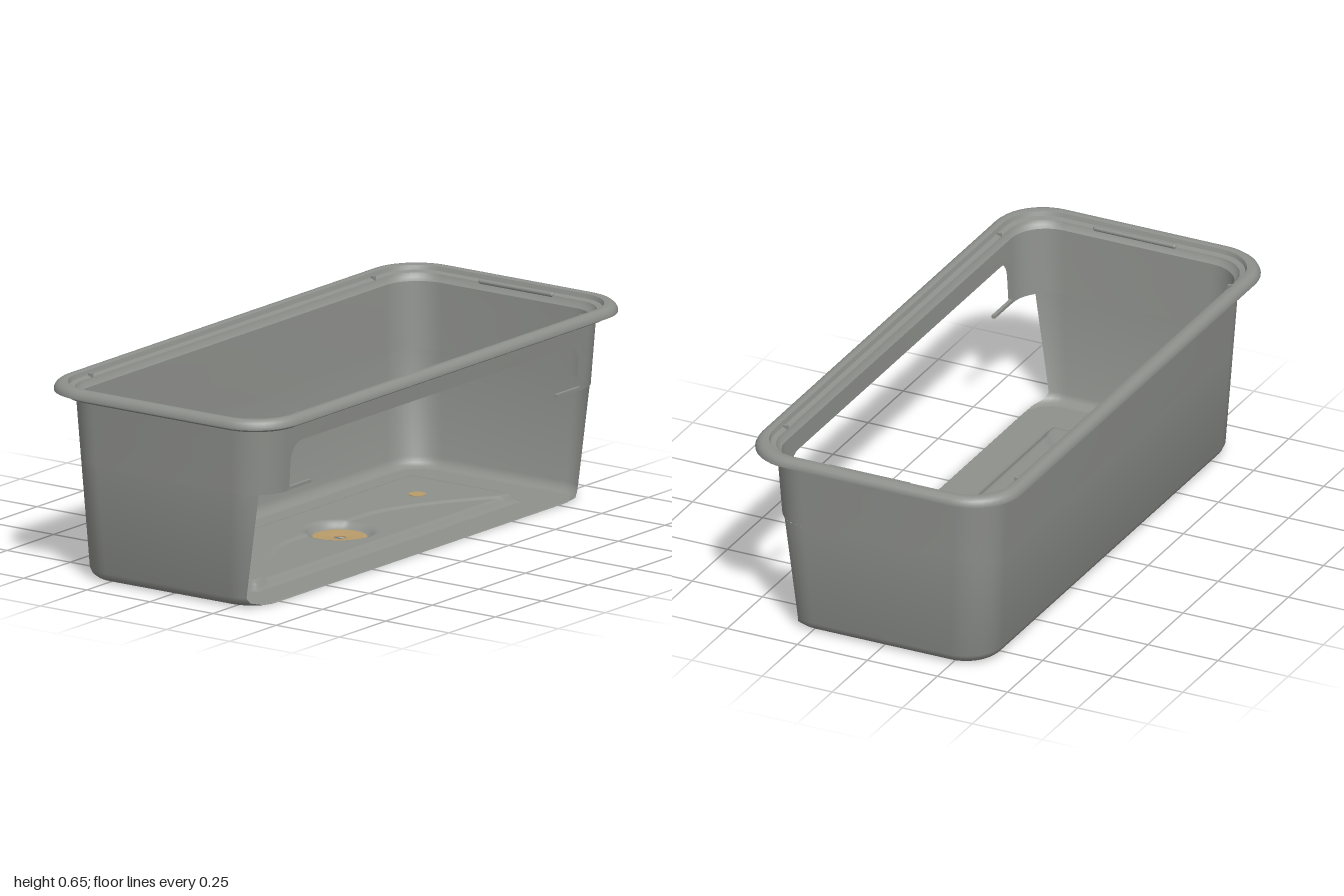
import * as THREE from 'three';
import { toCreasedNormals } from 'three/addons/utils/BufferGeometryUtils.js';

const SEG = 10;          // segments per rounded corner
const LONG = 0.535;      // extra half length along z
const STEP_Y = 0.388;    // height of the step in the open side

// Rounded-rectangle ring. cut: x where the ring stops; gap: half width of the opening in the +x side
function ring({ hx, y, r, cut = hx, gap = 0 }) {
  const hz = hx + LONG, cx = hx - r, cz = hz - r;
  const a0 = cut < hx ? Math.acos(Math.max(0, (cut - cx) / r)) : 0;
  const half = [];
  if (cut >= hx) half.push([hx, y, Math.min(gap, cz)]);
  else half.push([cut, y, cz + r * Math.sin(a0)]);
  for (let i = 0; i <= SEG; i++) {
    const a = a0 + (Math.PI / 2 - a0) * i / SEG;
    half.push([cx + r * Math.cos(a), y, cz + r * Math.sin(a)]);
  }
  for (let i = 0; i <= SEG; i++) {
    const a = Math.PI / 2 * (1 + i / SEG);
    half.push([-cx + r * Math.cos(a), y, cz + r * Math.sin(a)]);
  }
  return half.concat(half.slice().reverse().map(([x, h, z]) => [x, h, -z]));
}

// Surface joining successive rings
function skin(rows, crease = 0.6) {
  const rings = rows.map(ring), n = rings[0].length, index = [];
  for (let i = 0; i < rings.length - 1; i++) {
    for (let j = 0; j < n - 1; j++) {
      const a = i * n + j, b = a + 1, c = a + n, d = c + 1;
      index.push(a, c, b, b, c, d);
    }
  }
  const g = new THREE.BufferGeometry();
  g.setAttribute('position', new THREE.Float32BufferAttribute(rings.flat(2), 3));
  g.setIndex(index);
  return toCreasedNormals(g, crease);
}

const smooth = (v, a, b) => THREE.MathUtils.smoothstep(v, a, b);
const wallX = y => 0.37 + 0.056 * (y - 0.04);
const linerX = y => wallX(y) - 0.011;

// Rows of the upper wall, with a round-cornered opening below y = 0.545
function upperRows(xAt, topY) {
  const R = 0.06, rows = [{ y: STEP_Y, gap: 0.78 }];
  for (let i = 0; i <= 6; i++) {
    const a = Math.PI / 2 * i / 6;
    rows.push({ y: 0.545 - R + R * Math.sin(a), gap: 0.78 - R + R * Math.cos(a) });
  }
  rows.push({ y: 0.545, gap: 0 }, { y: topY, gap: 0 });
  return rows.map(o => ({ ...o, hx: xAt(o.y), r: 0.125 }));
}

// Height of the embossed floor panel
const DRAIN_X = 0.015, FLOOR_Y = 0.008;
function panelHeight(x, z) {
  const edge = Math.min(0.225 - Math.abs(x + 0.015), 0.715 - Math.abs(z));
  const t = Math.max(0, (Math.abs(z) - 0.2) / 0.48);
  const crease = -0.04 + 0.25 * Math.pow(t, 1.6);
  const lift = 0.03 - 0.007 * smooth(x - crease, 0, 0.014);
  const bowl = smooth(Math.hypot(x - DRAIN_X, z), 0.085, 0.12);
  return FLOOR_Y + lift * smooth(edge, 0, 0.035) * (0.1 + 0.9 * bowl);
}

export function createModel() {
  const group = new THREE.Group();
  const grey = new THREE.MeshStandardMaterial({ color: 0x8e908c, side: THREE.DoubleSide });
  grey.name = 'grey plastic';
  const tan = new THREE.MeshStandardMaterial({ color: 0xb89b6a, side: THREE.DoubleSide });
  tan.name = 'tan fitting';
  const add = (name, geometry, material = grey, x = 0, y = 0, z = 0) => {
    const mesh = new THREE.Mesh(geometry, material);
    mesh.name = name;
    mesh.position.set(x, y, z);
    group.add(mesh);
    return mesh;
  };

  // Lower walls, open on +x, filleted into the floor
  add('lowerWall', skin([
    { hx: 0.335, y: FLOOR_Y, r: 0.1, cut: 0.335 },
    { hx: 0.35, y: 0.012, r: 0.11, cut: 0.33 },
    { hx: 0.362, y: 0.022, r: 0.118, cut: 0.308 },
    { hx: 0.37, y: 0.04, r: 0.125, cut: 0.302 },
    { hx: wallX(STEP_Y), y: STEP_Y, r: 0.125, cut: 0.35 },
  ], 0.9));

  // Upper walls, inner liner and the ledge between them
  add('upperWall', skin(upperRows(wallX, 0.61)));
  add('innerLiner', skin(upperRows(linerX, 0.61)));
  add('innerLedge', skin([linerX, wallX].map(f => ({ hx: f(STEP_Y), y: STEP_Y, r: 0.125, gap: 0.78 }))));

  // Rim: band, overhanging lip and inner shoulder
  add('rim', skin([
    [0.402, 0.61, 0.125], [0.43, 0.609, 0.145], [0.436, 0.615, 0.15], [0.437, 0.634, 0.15],
    [0.452, 0.629, 0.16], [0.465, 0.626, 0.17], [0.465, 0.633, 0.17], [0.459, 0.645, 0.165],
    [0.45, 0.653, 0.16], [0.438, 0.655, 0.15], [0.426, 0.652, 0.145], [0.421, 0.638, 0.14],
    [0.405, 0.633, 0.13], [0.4, 0.62, 0.125], [linerX(0.61), 0.61, 0.125],
  ].map(([hx, y, r]) => ({ hx, y, r }))));

  // Floor surround with a rectangular hole for the panel
  const outline = new THREE.Shape(ring({ hx: 0.335, y: 0, r: 0.1 }).map(([x, , z]) => new THREE.Vector2(x, z)));
  const hole = new THREE.Path();
  hole.moveTo(-0.25, -0.73).lineTo(-0.25, 0.73).lineTo(0.22, 0.73).lineTo(0.22, -0.73).closePath();
  outline.holes.push(hole);
  add('floor', new THREE.ShapeGeometry(outline).rotateX(-Math.PI / 2), grey, 0, FLOOR_Y);

  // Embossed floor panel, open under the drain disc
  const panel = new THREE.PlaneGeometry(0.47, 1.46, 72, 150).rotateX(-Math.PI / 2).translate(-0.015, 0, 0);
  const p = panel.attributes.position, kept = [], src = panel.index.array;
  for (let i = 0; i < p.count; i++) p.setY(i, panelHeight(p.getX(i), p.getZ(i)));
  for (let i = 0; i < src.length; i += 3) {
    const tri = [src[i], src[i + 1], src[i + 2]];
    if (tri.some(k => Math.hypot(p.getX(k) - DRAIN_X, p.getZ(k)) > 0.082)) kept.push(...tri);
  }
  panel.setIndex(kept);
  panel.computeVertexNormals();
  add('floorPanel', panel);

  // Drain disc with its centre hole
  const disc = [[0.02, 0.006], [0.02, 0.01], [0.03, 0.012], [0.088, 0.013], [0.088, 0.008], [0.03, 0.006], [0.02, 0.006]];
  add('drainDisc', toCreasedNormals(
    new THREE.LatheGeometry(disc.map(([r, y]) => new THREE.Vector2(r, y)), 40), 0.5), tan, DRAIN_X);

  // Mirrored details at both ends
  for (const s of [-1, 1]) {
    add('floorDot', new THREE.CylinderGeometry(0.028, 0.028, 0.003, 24), tan, -0.042, 0.039, s * 0.495);
    add('ledgeTongue', new THREE.BoxGeometry(0.012, 0.01, 0.13), grey, 0.384, STEP_Y + 0.006, s * 0.725);
    for (const side of [-1, 1]) {
      add('rimRib', new THREE.BoxGeometry(0.016, 0.03, 0.008), grey, side * 0.412, 0.63, s * 0.76);
    }
    add('endRimPad', new THREE.CapsuleGeometry(0.008, 0.28, 4, 10).rotateZ(Math.PI / 2),
      grey, 0.02, 0.634, s * 0.942);
  }
  return group;
}
